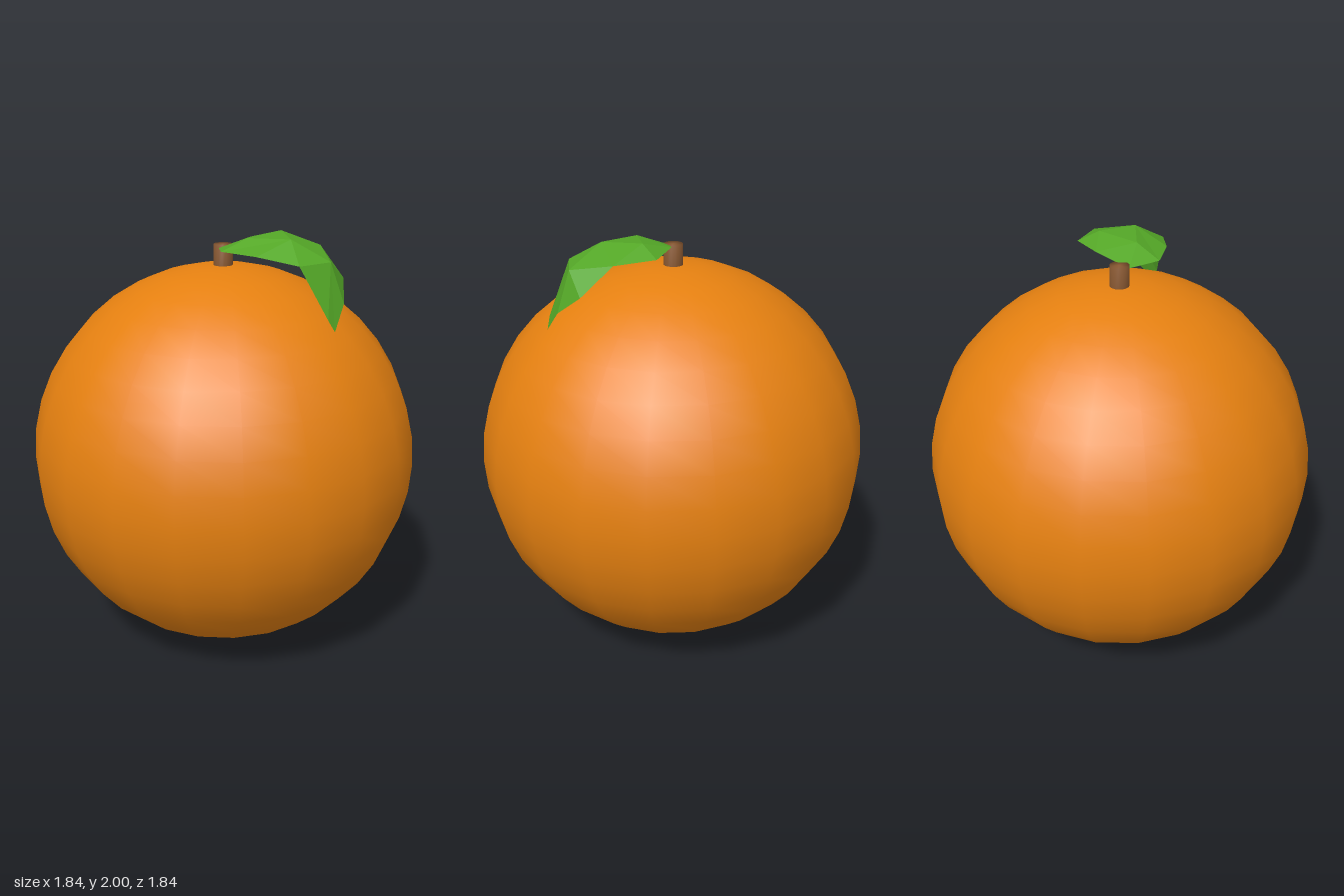
import * as THREE from 'three';
import { mergeVertices } from 'three/addons/utils/BufferGeometryUtils.js';

export function createModel() {
  const group = new THREE.Group();
  const peel = new THREE.MeshStandardMaterial({ color: 0xe58010 });
  const bark = new THREE.MeshStandardMaterial({ color: 0x8b5a33 });
  const green = new THREE.MeshStandardMaterial({ color: 0x54a727, flatShading: true, side: THREE.DoubleSide });
  peel.name = 'orange peel';
  bark.name = 'brown stem';
  green.name = 'leaf green';

  const add = (name, geometry, material, y = 0) => {
    const mesh = new THREE.Mesh(geometry, material);
    mesh.name = name;
    mesh.position.y = y;
    group.add(mesh);
    return mesh;
  };

  // Round fruit
  add('fruit', new THREE.SphereGeometry(0.92, 20, 20), peel, 0.925);

  // Short stem, softly shaded over its rim
  let stemGeo = new THREE.CylinderGeometry(0.045, 0.045, 0.16, 16);
  stemGeo.deleteAttribute('normal');
  stemGeo.deleteAttribute('uv');
  stemGeo = mergeVertices(stemGeo);
  stemGeo.computeVertexNormals();
  add('stem', stemGeo, bark, 1.858).position.z = -0.005;

  // Folded leaf: outline from the base round by the tip, then the raised midrib
  const outline = [
    [-0.04, 1.925, 0.01], [-0.13, 1.935, 0.13], [-0.08, 1.93, 0.305], [0.02, 1.9, 0.47],
    [0.1, 1.67, 0.575], [0.13, 1.615, 0.59], [0.225, 1.72, 0.55], [0.315, 1.81, 0.46],
    [0.31, 1.94, 0.315], [0.29, 1.95, 0.125], [0.14, 1.96, 0.03],
  ];
  const ridge = [[0, 1.985, 0.16], [0.2, 2, 0.17], [0.1, 1.99, 0.335], [0.195, 1.9, 0.49]];
  const faces = [
    [0, 1, 11], [0, 11, 10], [10, 11, 12], [10, 12, 9], [9, 12, 8], // base
    [1, 2, 13], [1, 13, 11], [11, 13, 12], [12, 13, 8], // middle
    [2, 3, 13], [3, 14, 13], [13, 14, 8], [14, 7, 8], // bend
    [3, 4, 14], [4, 5, 14], [5, 6, 14], [6, 7, 14], // tip
  ];
  const leafGeo = new THREE.BufferGeometry();
  leafGeo.setAttribute('position', new THREE.Float32BufferAttribute([...outline, ...ridge].flat(), 3));
  leafGeo.setIndex(faces.flat());
  leafGeo.computeVertexNormals();
  add('leaf', leafGeo, green);

  return group;
}
